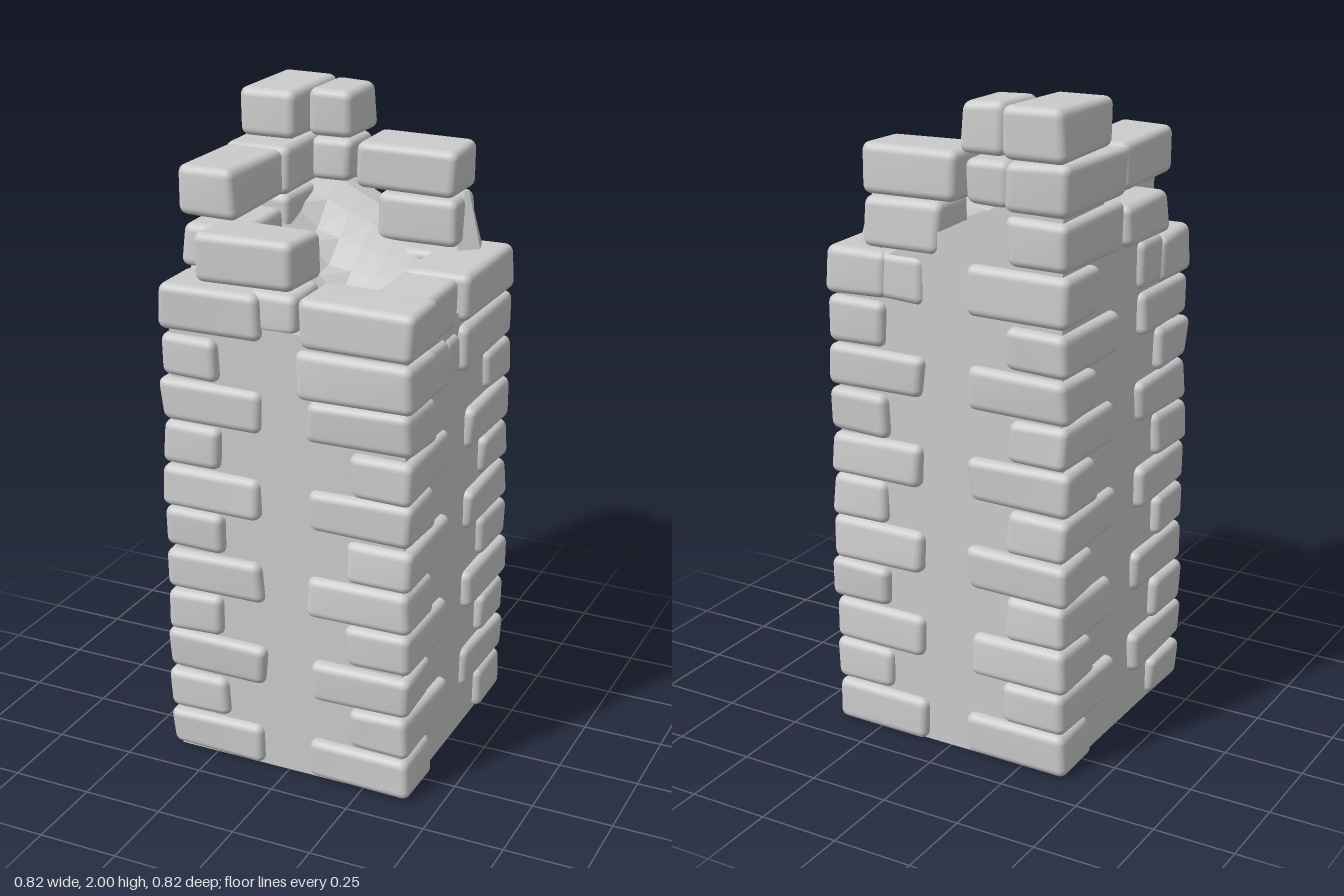
import * as THREE from 'three';
import { RoundedBoxGeometry } from 'three/addons/geometries/RoundedBoxGeometry.js';
import { mergeVertices } from 'three/addons/utils/BufferGeometryUtils.js';

const material = new THREE.MeshStandardMaterial({ color: 0xcccccc });
const clamp = THREE.MathUtils.clamp;

let seed = 7;
function rand() {
  seed = (seed * 16807) % 2147483647;
  return seed / 2147483647;
}
const jitter = (a) => (rand() * 2 - 1) * a;

// Worn stone: a rounded box whose eight corners are pushed about a little
function stone(name, x0, x1, y0, y1, z0, z1) {
  const size = [x1 - x0, y1 - y0, z1 - z0];
  let geo = new RoundedBoxGeometry(...size, 3, 0.026);
  geo.deleteAttribute('uv');
  geo.deleteAttribute('normal');
  geo = mergeVertices(geo, 1e-5);
  const shift = Array.from({ length: 8 }, () => [jitter(0.009), jitter(0.005), jitter(0.009)]);
  const p = geo.attributes.position;
  for (let i = 0; i < p.count; i++) {
    const v = [p.getX(i), p.getY(i), p.getZ(i)];
    const t = v.map((c, k) => c / size[k] + 0.5);
    const moved = v.slice();
    for (let c = 0; c < 8; c++) {
      let weight = 1;
      for (let k = 0; k < 3; k++) weight *= (c >> k) & 1 ? t[k] : 1 - t[k];
      for (let k = 0; k < 3; k++) moved[k] += weight * shift[c][k];
    }
    p.setXYZ(i, ...moved);
  }
  geo.computeVertexNormals();
  const mesh = new THREE.Mesh(geo, material);
  mesh.name = name;
  mesh.position.set((x0 + x1) / 2, (y0 + y1) / 2, (z0 + z1) / 2);
  return mesh;
}

// Plastered core with a broken top that climbs towards the back right corner
function core() {
  let geo = new THREE.BoxGeometry(0.75, 1, 0.75, 10, 1, 10);
  const p = geo.attributes.position;
  for (let i = 0; i < p.count; i++) {
    const x = p.getX(i), z = p.getZ(i);
    const side = clamp(-x / 0.28, 0, 1) * (0.4 - z);
    const back = clamp(-z / 0.28, 0, 1) * (0.4 - x);
    p.setY(i, p.getY(i) < 0 ? 0.003 : 1.43 + 0.5 * Math.max(side, back));
  }
  geo = geo.toNonIndexed();
  geo.computeVertexNormals();
  const mesh = new THREE.Mesh(geo, material);
  mesh.name = 'core';
  return mesh;
}

export function createModel() {
  seed = 7;
  const model = new THREE.Group();
  model.add(core());

  const pitch = 0.138, outer = 0.402;
  const span = (s, inner) => (s > 0 ? [inner, outer] : [-outer, -inner]);

  // Corner stones, long along x and along z in turn
  const corners = new THREE.Group();
  corners.name = 'cornerStones';
  for (let row = 0; row < 10; row++) {
    for (const sx of [-1, 1]) {
      for (const sz of [-1, 1]) {
        if (row === 9 && sx > 0) continue;
        const long = 0.075 + jitter(0.008), short = 0.203 + jitter(0.008);
        const alongX = row % 2 === 0;
        corners.add(stone('cornerStone',
          ...span(sx, alongX ? long : short),
          row * pitch + 0.007, (row + 1) * pitch,
          ...span(sz, alongX ? short : long)));
      }
    }
  }
  model.add(corners);

  // Broken top courses: x0, x1, y0, y1, z0, z1
  const top = new THREE.Group();
  top.name = 'brokenTop';
  const c9 = [1.245, 1.385], c10 = [1.395, 1.54], c11 = [1.55, 1.695];
  const c12 = [1.705, 1.85], c13 = [1.855, 2];
  const stones = [
    // tenth course, left side
    [0.04, 0.4, ...c9, 0.2, 0.4],
    [0.2, 0.398, ...c9, 0.09, 0.39],
    [0.21, 0.385, 1.26, 1.375, 0.005, 0.11],
    [0.2, 0.4, ...c9, -0.4, -0.005],
    // eleventh course, all round
    [-0.402, -0.075, 1.39, 1.53, 0.2, 0.402],
    [-0.12, 0.035, 1.415, 1.54, 0.2, 0.375],
    [0.05, 0.4, ...c10, 0.2, 0.4],
    [0.2, 0.395, ...c10, 0.015, 0.36],
    [0.195, 0.4, ...c10, -0.4, -0.005],
    [0.07, 0.24, ...c10, -0.39, -0.2],
    [-0.402, -0.07, ...c10, -0.402, -0.2],
    [-0.4, -0.2, ...c10, 0.07, 0.22],
    // twelfth course
    [-0.28, 0.03, ...c11, 0.2, 0.4],
    [-0.4, -0.2, 1.54, 1.67, -0.03, 0.25],
    [-0.402, -0.2, ...c11, -0.402, -0.06],
    [0.02, 0.28, ...c11, -0.385, -0.195],
    // thirteenth course
    [-0.39, -0.2, ...c12, -0.03, 0.29],
    [-0.402, -0.195, ...c12, -0.402, -0.04],
    [-0.205, -0.07, 1.71, 1.845, -0.385, -0.22],
    [-0.04, 0.28, ...c12, -0.385, -0.188],
    // highest stones
    [-0.39, -0.2, ...c13, -0.415, -0.105],
    [-0.195, -0.055, ...c13, -0.385, -0.19],
  ];
  for (const s of stones) top.add(stone('topStone', ...s));
  model.add(top);

  // Splinter of core left standing beside the back wall
  const shardGeo = new THREE.CylinderGeometry(0.012, 0.08, 0.24, 5).toNonIndexed();
  shardGeo.computeVertexNormals();
  const shard = new THREE.Mesh(shardGeo, material);
  shard.name = 'coreShard';
  shard.position.set(0.275, 1.59, -0.3);
  model.add(shard);

  return model;
}
